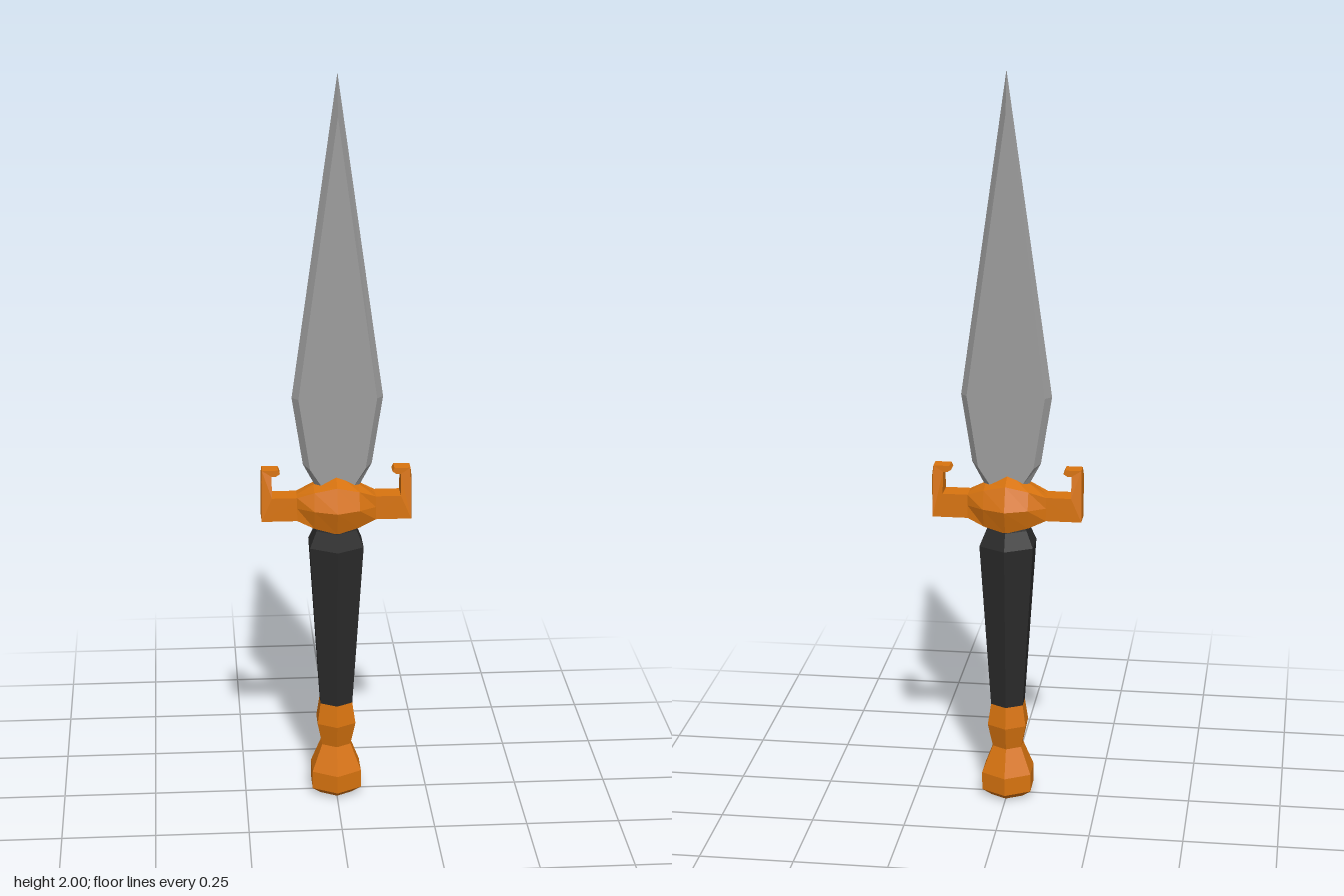
import * as THREE from 'three';

const flat = (name, color) => {
  const m = new THREE.MeshStandardMaterial({ color, flatShading: true });
  m.name = name;
  return m;
};

// Skin between rings of points; rings run counter-clockwise about the loft direction
function loft(rings) {
  const n = rings[0].length;
  const last = (rings.length - 1) * n;
  const index = [];
  for (let r = 0; r < rings.length - 1; r++) {
    for (let i = 0; i < n; i++) {
      const a = r * n + i, b = r * n + (i + 1) % n;
      index.push(a, b, b + n, a, b + n, a + n);
    }
  }
  for (let i = 1; i < n - 1; i++) {
    index.push(0, i + 1, i, last, last + i, last + i + 1);
  }
  const g = new THREE.BufferGeometry();
  g.setAttribute('position', new THREE.Float32BufferAttribute(rings.flat(2), 3));
  g.setIndex(index);
  const out = g.toNonIndexed();
  out.computeVertexNormals();
  return out;
}

// Six-sided turned part from [radius, y] pairs
function turned(profile) {
  const g = new THREE.LatheGeometry(profile.map(([r, y]) => new THREE.Vector2(r, y)), 6);
  const out = g.toNonIndexed();
  out.computeVertexNormals();
  return out;
}

export function createModel() {
  const group = new THREE.Group();
  const steel = flat('steel', 0x9c9c9c);
  const bronze = flat('bronze', 0xd9740f);
  const leather = flat('dark leather', 0x2b2b2b);
  const add = (name, geometry, material) => {
    const mesh = new THREE.Mesh(geometry, material);
    mesh.name = name;
    group.add(mesh);
    return mesh;
  };

  // Pommel and grip
  add('pommel', turned([[0, 0], [0.05, 0], [0.077, 0.02], [0.077, 0.07],
    [0.045, 0.145], [0.06, 0.21], [0.05, 0.27], [0, 0.27]]), bronze);
  add('grip', turned([[0, 0.268], [0.05, 0.268], [0.083, 0.73], [0.062, 0.775],
    [0.055, 0.8], [0, 0.8]]), leather);

  // Faceted guard hub: x, top y, shoulder y and z, widest z, lower y and z, bottom y
  const half = [
    [0, 0.93, 0.905, 0.06, 0.083, 0.775, 0.06, 0.765],
    [0.06, 0.897, 0.888, 0.045, 0.06, 0.787, 0.043, 0.78],
    [0.105, 0.87, 0.87, 0.03, 0.03, 0.805, 0.03, 0.805],
  ];
  const sections = [...half.slice(1).reverse().map(([x, ...s]) => [-x, ...s]), ...half];
  add('guardHub', loft(sections.map(([x, top, yu, zu, zm, yl, zl, bottom]) => [
    [x, top, 0], [x, yu, zu], [x, 0.84, zm], [x, yl, zl],
    [x, bottom, 0], [x, yl, -zl], [x, 0.84, -zm], [x, yu, -zu],
  ])), bronze);

  // Guard arms with upturned hooks, narrowed in depth along the top
  for (const side of [1, -1]) {
    const outline = [[0.095, 0.805], [0.2, 0.805], [0.2, 0.92], [0.198, 0.945],
      [0.155, 0.945], [0.15, 0.935], [0.16, 0.928], [0.172, 0.928], [0.172, 0.87], [0.095, 0.87]];
    const shape = new THREE.Shape(outline.map(([x, y]) => new THREE.Vector2(x * side, y)));
    const g = new THREE.ExtrudeGeometry(shape, { depth: 0.06, bevelEnabled: false });
    g.translate(0, 0, -0.03);
    const p = g.attributes.position;
    for (let i = 0; i < p.count; i++) {
      if (p.getY(i) > 0.925) p.setZ(i, p.getZ(i) * 0.65);
    }
    g.computeVertexNormals();
    add(side > 0 ? 'leftGuardArm' : 'rightGuardArm', g, bronze);
  }

  // Blade with bevelled edges: edge x, edge y, flat x, flat y
  const t = 0.019;
  const blade = add('blade', loft([
    [0.045, 0.87, 0.035, 0.87],
    [0.06, 0.895, 0.045, 0.9],
    [0.092, 0.955, 0.074, 0.945],
    [0.121, 1.14, 0.104, 1.14],
    [0, 2, 0, 1.89],
  ].map(([ex, ey, fx, fy]) => [
    [fx, fy, t], [ex, ey, 0], [fx, fy, -t], [-fx, fy, -t], [-ex, ey, 0], [-fx, fy, t],
  ])), steel);
  blade.position.x = 0.004;

  return group;
}
